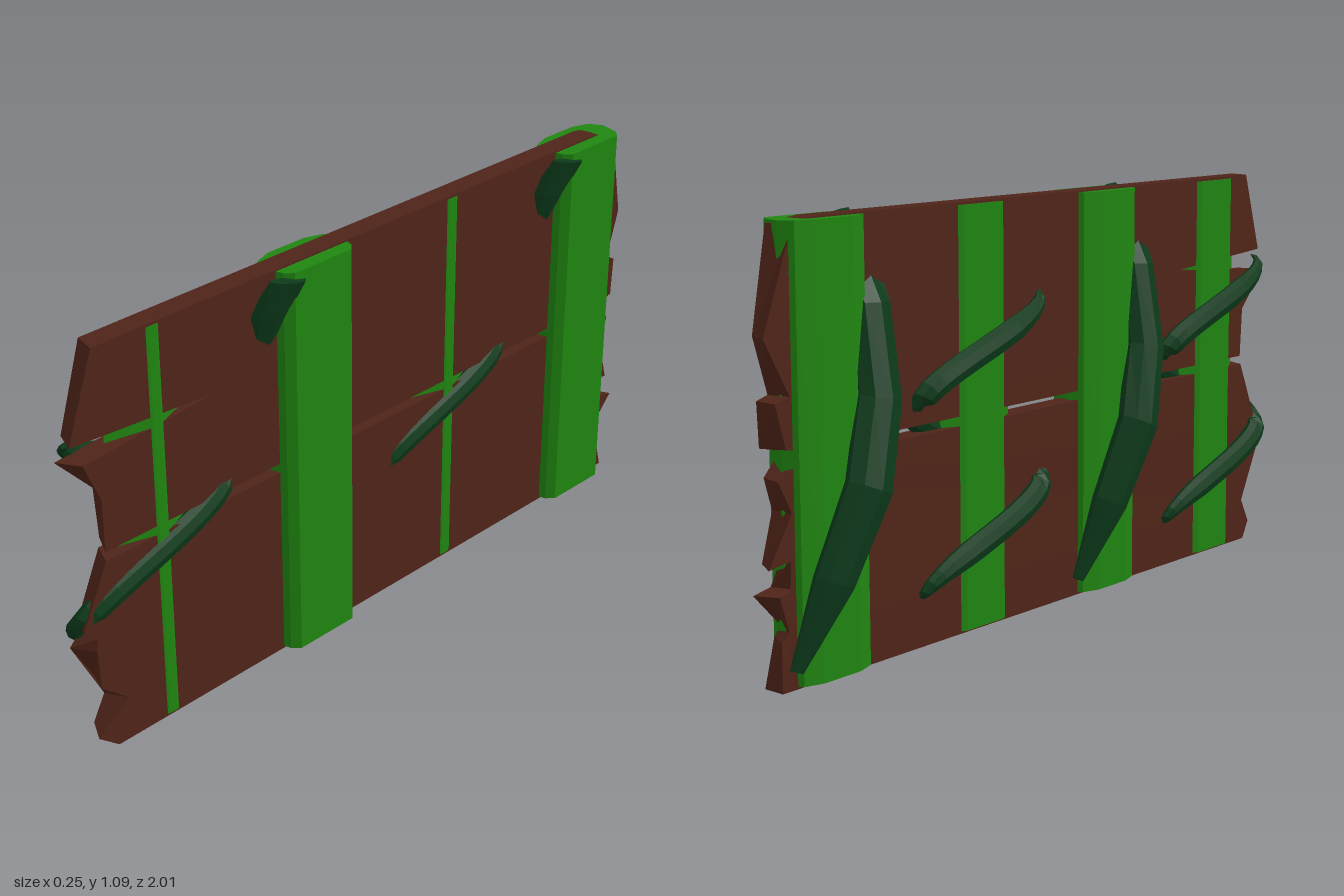
import * as THREE from 'three';

const mat = (color) => new THREE.MeshStandardMaterial({ color, flatShading: true });
const brown = mat(0x4f2418);
const green = mat(0x1f8510);
const dark = mat(0x0c3a1a);
dark.side = THREE.DoubleSide;

const toShape = (pts) => new THREE.Shape(pts.map(([a, b]) => new THREE.Vector2(a, b)));

// Plank: side outline given as [z, y], splintered ends skewed through the thickness
function plank(outline) {
  const geo = new THREE.ExtrudeGeometry(toShape(outline), { depth: 0.06, bevelEnabled: false });
  geo.rotateY(-Math.PI / 2).translate(0.055, 0, 0);
  const p = geo.attributes.position;
  for (let i = 0; i < p.count; i++) {
    const z = p.getZ(i), s = Math.sin(p.getY(i) * 37);
    if (Math.abs(z) > 0.91 && p.getX(i) * s < 0.025 * s) p.setZ(i, z * (1 - 0.035 * Math.abs(s)));
  }
  geo.computeVertexNormals();
  return new THREE.Mesh(geo, brown);
}

// Upright stem: half cross-section as [x, z], mirrored in z
function stem(half, y0, y1) {
  const section = [...half, ...half.map(([x, z]) => [x, -z]).reverse()];
  const geo = new THREE.ExtrudeGeometry(toShape(section), { depth: y1 - y0, bevelEnabled: false });
  geo.rotateX(Math.PI / 2).translate(0, y1, 0);
  return new THREE.Mesh(geo, green);
}

// Vine: elliptical rings along a point list, each point [x, y, z, rx, rSide]
function vine(points, sides) {
  const pos = [], idx = [], X = new THREE.Vector3(1, 0, 0);
  const n = points.length;
  points.forEach(([x, y, z, rx, rs], k) => {
    const a = points[Math.max(k - 1, 0)], b = points[Math.min(k + 1, n - 1)];
    const B = new THREE.Vector3(0, b[1] - a[1], b[2] - a[2]).cross(X).normalize();
    for (let i = 0; i < sides; i++) {
      const t = (i / sides) * Math.PI * 2, s = Math.sin(t) * rs;
      pos.push(x + Math.cos(t) * rx, y + B.y * s, z + B.z * s);
    }
  });
  for (let k = 0; k < n - 1; k++) {
    for (let i = 0; i < sides; i++) {
      const j = (i + 1) % sides, a = k * sides, b = a + sides;
      idx.push(a + i, a + j, b + i, a + j, b + j, b + i);
    }
  }
  // End caps
  const last = (n - 1) * sides;
  for (let i = 1; i < sides - 1; i++) idx.push(0, i + 1, i, last, last + i, last + i + 1);
  const geo = new THREE.BufferGeometry();
  geo.setAttribute('position', new THREE.Float32BufferAttribute(pos, 3));
  geo.setIndex(idx);
  geo.computeVertexNormals();
  return new THREE.Mesh(geo, dark);
}

export function createModel() {
  const model = new THREE.Group();
  const add = (mesh, name, z = 0) => {
    mesh.name = name;
    mesh.position.z = z;
    model.add(mesh);
  };

  // Boards with jagged ends
  add(plank([
    [0.92, 0], [-0.965, 0], [-0.965, 0.12], [-0.94, 0.14], [-0.995, 0.23], [-0.94, 0.24],
    [-0.93, 0.31], [-1, 0.3], [-0.93, 0.42], [-0.965, 0.5], [-0.92, 0.535],
    [0.92, 0.535], [1, 0.37], [0.965, 0.335], [1, 0.3], [0.96, 0.19], [0.91, 0.12], [0.98, 0.05],
  ]), 'lowerPlank');
  add(plank([
    [0.92, 0.56], [-0.92, 0.56], [-0.965, 0.57], [-0.97, 0.68], [-0.935, 0.69], [-1, 0.83],
    [-0.93, 1.08], [-0.83, 1.092], [0.92, 1.092], [1, 0.87], [0.57, 0.842], [1, 0.81], [0.92, 0.7],
  ]), 'upperPlank');

  const postSection = [[-0.035, 0.06], [-0.018, 0.11], [0.02, 0.13], [0.075, 0.115], [0.095, 0.095]];
  const stripSection = [[-0.013, 0.07], [0.02, 0.13], [0.057, 0.012]];

  // Long vine passing from the front of a post through to its back
  const keys = [
    [0.098, 1.078, 0.36, 0.022, 0.06], [0.05, 0.98, 0.385, 0.035, 0.062],
    [0.005, 0.88, 0.385, 0.042, 0.06], [-0.045, 0.66, 0.365, 0.045, 0.065],
    [-0.08, 0.46, 0.29, 0.045, 0.07], [-0.06, 0.25, 0.19, 0.04, 0.06],
    [-0.025, 0.05, 0.1, 0.012, 0.02],
  ].map(([x, y, z, a, b]) => [x, y, z - 0.24, a, b]).reverse();

  // Short vine winding one and a half turns around a strip
  const spiral = [];
  for (let i = 0; i <= 42; i++) {
    const u = i / 42, a = u * Math.PI * 3, s = Math.sin(a);
    const r = 0.35 + 0.65 * Math.min(1, 8 * u, 8 * (1 - u));
    spiral.push([
      0.008 - 0.04 * Math.sign(s) * Math.sqrt(Math.abs(s)),
      0.12 + 0.73 * u, -0.23 * Math.cos(a), 0.028 * r, 0.034 * r,
    ]);
  }

  for (const z of [0.24, -0.8]) {
    add(stem(postSection, 0.006, 1.088), 'post', z);
    add(vine(keys, 8), 'longVine', z);
  }
  for (const z of [0.745, -0.265]) {
    add(stem(stripSection, 0.006, 1.085), 'strip', z);
    add(vine(spiral, 8), 'windingVine', z);
  }
  return model;
}
